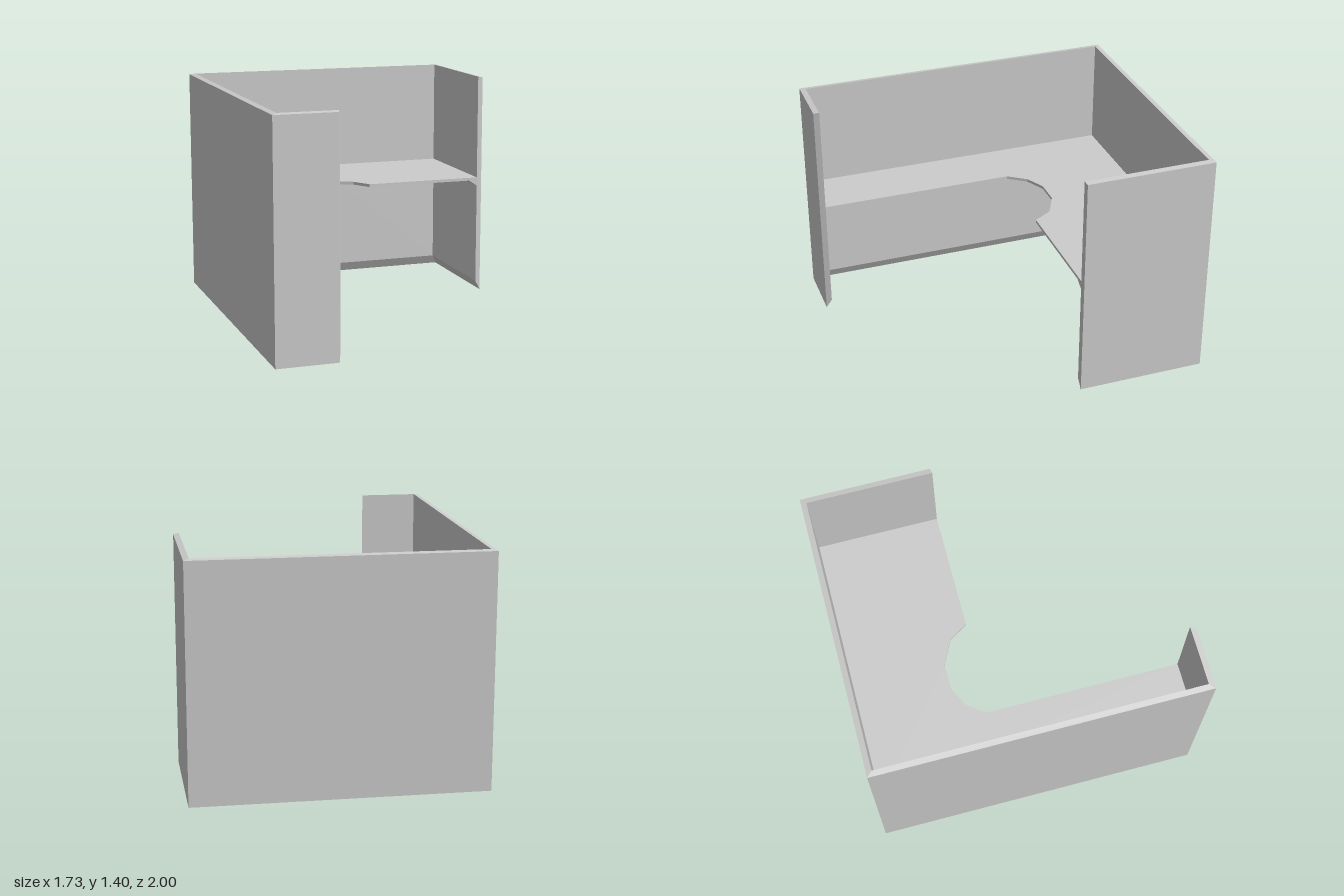
import * as THREE from 'three';

const R = 0.865;          // half width of the outer walls
const T = 0.033;          // wall thickness

// Plan path of the walls, moved inward by d: left front end, two back corners,
// right front corner, free end of the front return.
function wallPath(d, zEnd, xEnd) {
  return [[R - d, zEnd], [R - d, -1 + d], [-R + d, -1 + d], [-R + d, 1 - d], [xEnd, 1 - d]];
}

// Sweep a closed cross-section along the mitred path, with both ends capped.
// Each profile point is { d: inward offset, y, zEnd, xEnd }.
function sweep(profile) {
  const lines = profile.map(p =>
    wallPath(p.d, p.zEnd, p.xEnd).map(([x, z]) => new THREE.Vector3(x, p.y, z)));
  const pos = [];
  const tri = (...pts) => pts.forEach(p => pos.push(p.x, p.y, p.z));
  const n = lines.length, last = lines[0].length - 1;
  for (let s = 0; s < last; s++) {
    for (let j = 0; j < n; j++) {
      const a = lines[j], b = lines[(j + 1) % n];
      tri(a[s], b[s], b[s + 1]);
      tri(a[s], b[s + 1], a[s + 1]);
    }
  }
  for (let j = 1; j < n - 1; j++) {
    tri(lines[0][0], lines[j + 1][0], lines[j][0]);
    tri(lines[0][last], lines[j][last], lines[j + 1][last]);
  }
  const g = new THREE.BufferGeometry();
  g.setAttribute('position', new THREE.Float32BufferAttribute(pos, 3));
  g.computeVertexNormals();
  return g;
}

export function createModel() {
  const model = new THREE.Group();
  model.name = 'officeCubicle';
  const material = new THREE.MeshStandardMaterial({ color: 0xcccccc, flatShading: true });
  const add = (name, geometry) => {
    const mesh = new THREE.Mesh(geometry, material);
    mesh.name = name;
    model.add(mesh);
    return mesh;
  };

  // Partition walls: sloped toe at the floor, slightly sloped rim on top
  const outer = { d: 0, zEnd: -0.216, xEnd: -0.497 };
  const inner = { d: T, zEnd: -0.21, xEnd: -0.48 };
  add('partitionWalls', sweep([
    { ...outer, y: 0 },
    { ...inner, y: 0.06 },
    { ...inner, y: 1.4 },
    { ...outer, y: 1.394 },
  ]));

  // Sloped support strip under the desk, along the walls
  add('deskSupport', sweep([
    { ...inner, y: 0.695 },
    { ...inner, d: T + 0.056, y: 0.73 },
    { ...inner, y: 0.73 },
  ]));

  // L-shaped desktop with a faceted seating cut-out, outline in x and z
  const i = R - T, b = -1 + T;
  const outline = [
    [-i, b], [-i, 1 - T], [-0.48, 1 - T], [-0.48, -0.23], [-0.4, -0.34], [-0.28, -0.4],
    [-0.12, -0.4], [0.03, -0.325], [0.1, -0.21], [i, -0.21], [i, b],
  ];
  const shape = new THREE.Shape(outline.map(([x, z]) => new THREE.Vector2(x, -z)));
  const desk = new THREE.ExtrudeGeometry(shape, { depth: 0.018, bevelEnabled: false });
  desk.rotateX(-Math.PI / 2);
  add('desktop', desk).position.y = 0.73;

  return model;
}
